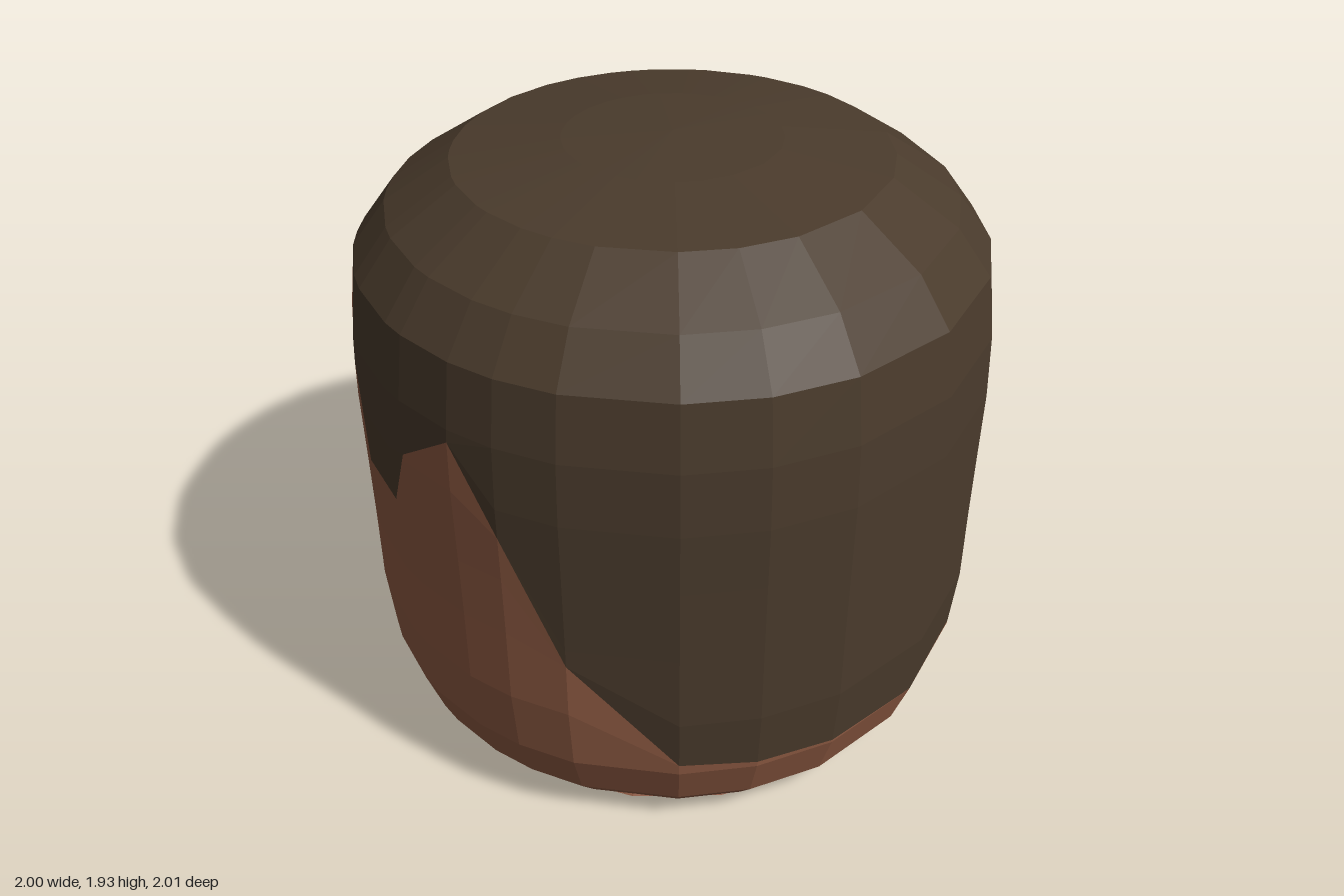
import * as THREE from 'three';

// Side profile of the head: [radius, height]
const PROFILE = [[0.82, 0], [0.92, 0.12], [0.975, 0.28], [0.995, 0.5], [0.995, 0.8], [1, 1.2], [0.995, 1.38],
  [0.965, 1.6], [0.86, 1.74], [0.66, 1.87], [0.33, 1.915], [0, 1.93]];

// Half outline: [degrees from the back of the head, hairline height, eye bottom, eye top]
const COLUMNS = [[0, 0.28], [21, 0.29], [36, 0.3], [50, 0.32], [69, 0.69], [80, 1.1], [89, 1.36], [101, 1.22],
  [106, 1.01], [119, 1.01], [124, 1.31], [136, 1.53], [141, 1.56, 1.02, 1.03], [147, 1.6, 0.97, 1.09],
  [157, 1.64, 0.96, 1.08], [167, 1.65, 0.95, 1.06], [180, 1.66]];
const MIRRORED = [...COLUMNS, ...COLUMNS.slice(0, -1).reverse().map(([a, ...rest]) => [360 - a, ...rest])];

function radiusAt(y) {
  for (let i = 1; i < PROFILE.length; i++) {
    const [r0, y0] = PROFILE[i - 1], [r1, y1] = PROFILE[i];
    if (y <= y1) return r0 + (r1 - r0) * Math.max(0, (y - y0) / (y1 - y0));
  }
  return 0;
}

// Point on the head surface; offset moves it outward
function onHead(deg, y, offset = 0) {
  const a = THREE.MathUtils.degToRad(deg), r = radiusAt(y) + offset;
  return [r * Math.sin(a), y, r * Math.cos(a)];
}

// Skins columns of points into a surface, leaving out quads where skip(i, j) is true
function surface(cols, skip = () => false) {
  const pos = [];
  const tri = (p, q, s) => {
    const v = [p, q, s].map((e) => new THREE.Vector3(...e));
    if (new THREE.Triangle(...v).getArea() > 1e-6) pos.push(...p, ...q, ...s);
  };
  for (let i = 0; i < cols.length - 1; i++) {
    for (let j = 0; j < cols[i].length - 1; j++) {
      if (skip(i, j)) continue;
      const a = cols[i][j], b = cols[i + 1][j], c = cols[i + 1][j + 1], d = cols[i][j + 1];
      tri(a, b, c);
      tri(a, c, d);
    }
  }
  const g = new THREE.BufferGeometry();
  g.setAttribute('position', new THREE.Float32BufferAttribute(pos, 3));
  g.computeVertexNormals();
  return g;
}

function material(color) {
  return new THREE.MeshStandardMaterial({ color, flatShading: true, side: THREE.DoubleSide });
}

export function createModel() {
  const group = new THREE.Group();
  const skinMat = material(0x8f5b43), hairMat = material(0x4a3b2c), browMat = material(0x958a0c);
  const add = (name, geometry, mat) => {
    const mesh = new THREE.Mesh(geometry, mat);
    mesh.name = name;
    group.add(mesh);
  };

  // Face, cheeks and neck edge, with open eye slots (row 5 of the grid)
  const skinCols = MIRRORED.map(([deg, h, lo = 0.95, hi = 1.09]) =>
    [0, 0.12, 0.28, 0.5, 0.75, lo, hi, 1.2, 1.4, 1.66].map((y) => onHead(deg, Math.min(y, h))));
  const isEye = (i, j) => j === 5 && MIRRORED[i].length > 2 && MIRRORED[i + 1].length > 2;
  add('face', surface(skinCols, isEye), skinMat);

  // Hair cap from the hairline up to the crown
  const hairCols = MIRRORED.map(([deg, h]) =>
    [0.28, 0.5, 0.75, 1, 1.2, 1.4, 1.6, 1.74, 1.87, 1.915, 1.93].map((y) => onHead(deg, Math.max(y, h))));
  add('hair', surface(hairCols), hairMat);

  // Turned-in lip around the open neck
  const lip = [[0.79, 0.1], [0.79, 0.04], [0.82, 0]].map(([r, y]) => new THREE.Vector2(r, y));
  add('neckLip', new THREE.LatheGeometry(lip, 18), skinMat);

  // White band inside the head, seen through the eye slots
  const band = new THREE.CylinderGeometry(0.83, 0.83, 0.55, 24, 1, true);
  band.translate(0, 0.975, 0);
  add('eyeWhites', band, material(0xcccccc));

  // Eye rims and eyebrows, mirrored
  const eye = COLUMNS.filter((c) => c.length > 2);
  const outline = [...eye.map(([a, , lo]) => [a, lo]), ...eye.map(([a, , , hi]) => [a, hi]).reverse()];
  outline.push(outline[0]);
  const brow = [[136, 1.14, 1.15], [143, 1.2, 1.28], [152, 1.21, 1.32], [160, 1.2, 1.31], [168, 1.18, 1.3], [176, 1.17, 1.28]];
  for (const [side, turn] of [['left', (a) => a], ['right', (a) => 360 - a]]) {
    add(side + 'EyeRim', surface(outline.map(([a, y]) => [onHead(turn(a), y), onHead(turn(a), y, -0.05)])), skinMat);
    add(side + 'Eyebrow', surface(brow.map(([a, lo, hi]) => [onHead(turn(a), lo, 0.01), onHead(turn(a), hi, 0.01)])), browMat);
  }

  // Thin lips, pointed at both corners
  const lipStrip = (sign, height) => {
    const cols = [];
    for (let k = -4; k <= 4; k++) {
      const t = 1 - Math.abs(k) / 4, y = 0.335 + 0.005 * t;
      cols.push([onHead(180 + k * 7.5, y, 0.008), onHead(180 + k * 7.5, y + sign * height * Math.sqrt(t), 0.014)]);
    }
    return surface(cols);
  };
  add('upperLip', lipStrip(1, 0.022), material(0x4f8a6a));
  add('lowerLip', lipStrip(-1, 0.016), material(0x5c3f70));

  return group;
}
